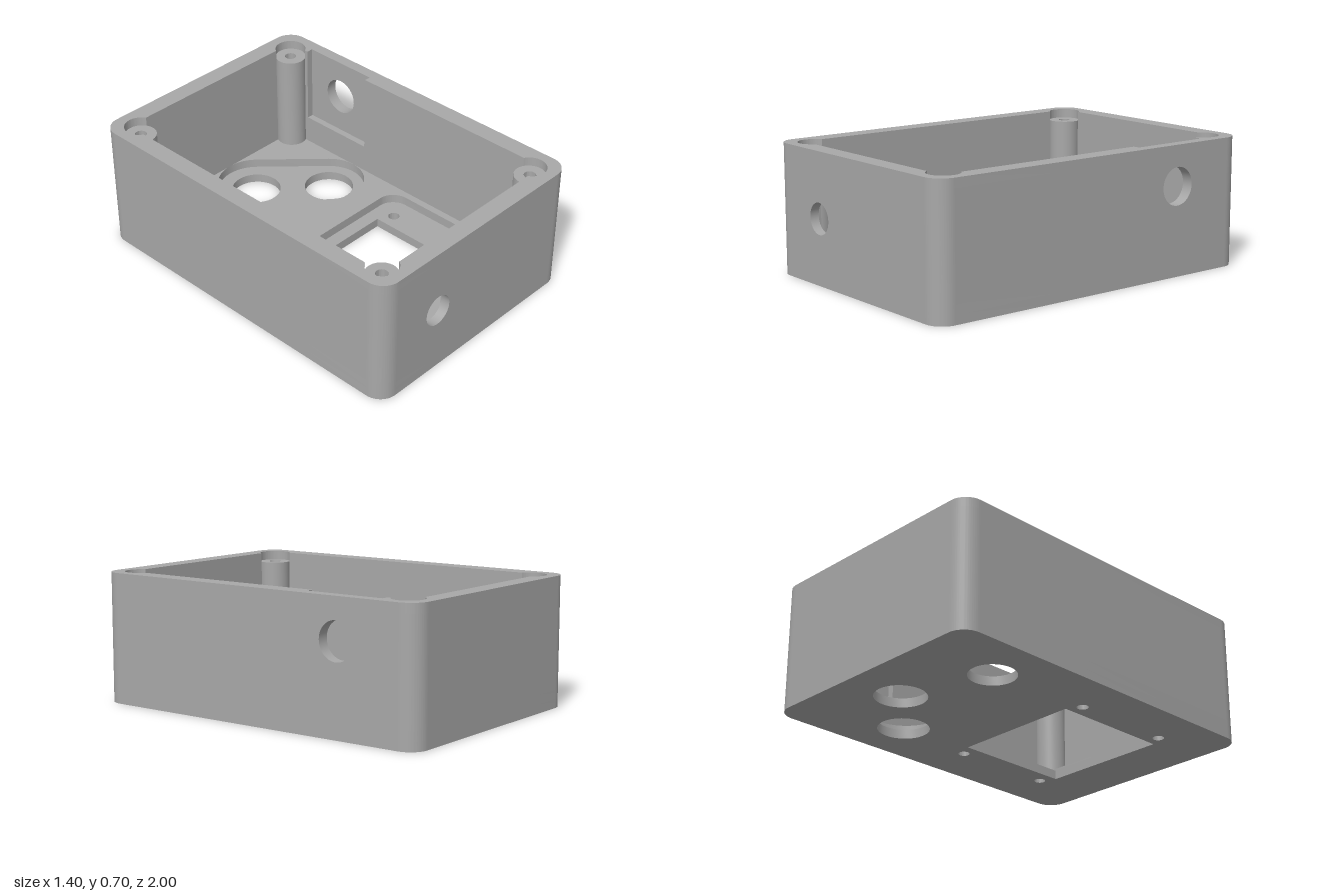
import * as THREE from 'three';
import { toCreasedNormals } from 'three/addons/utils/BufferGeometryUtils.js';

const W = 0.7, D = 1, H = 0.7, R = 0.1;        // outer half width, half depth, height, corner radius
const IW = 0.6, ID = 0.9;                      // cavity half width and half depth
const FLOOR = 0.1, STEP = 0.05, LEDGE = 0.65;  // floor top, recess level, post top
const PX = 0.56, PZ = 0.86, PR = 0.085;        // post position and radius

function rect(x0, y0, x1, y1, Type = THREE.Shape) {
  const p = new Type();
  p.moveTo(x0, y0).lineTo(x1, y0).lineTo(x1, y1).lineTo(x0, y1).closePath();
  return p;
}

function roundRect(x0, y0, x1, y1, r, Type = THREE.Shape) {
  const p = new Type(), q = Math.PI / 2;
  p.absarc(x1 - r, y1 - r, r, 0, q, false);
  p.absarc(x0 + r, y1 - r, r, q, 2 * q, false);
  p.absarc(x0 + r, y0 + r, r, 2 * q, 3 * q, false);
  p.absarc(x1 - r, y0 + r, r, 3 * q, 4 * q, false);
  p.closePath();
  return p;
}

const circle = (x, y, r) => new THREE.Path().absarc(x, y, r, 0, Math.PI * 2, false);

// Outline wrapped around two circles of different radius
function beltPath(x1, y1, r1, x2, y2, r2) {
  const phi = Math.atan2(y2 - y1, x2 - x1);
  const d = Math.acos((r1 - r2) / Math.hypot(x2 - x1, y2 - y1));
  const p = new THREE.Path();
  p.absarc(x1, y1, r1, phi + d, phi - d + Math.PI * 2, false);
  p.absarc(x2, y2, r2, phi - d, phi + d, false);
  p.closePath();
  return p;
}

// Cavity outline at the rim, with the post bores and the side pocket
function rimOpening(pocket) {
  const p = new THREE.Path();
  const cut = Math.sqrt(PR * PR - (IW - PX) ** 2);
  const a = Math.atan2(-cut, IW - PX), b = Math.atan2(ID - PZ, -cut);
  p.absarc(PX, PZ, PR, a, b, false);
  p.absarc(-PX, PZ, PR, Math.PI - b, Math.PI - a, false);
  p.absarc(-PX, -PZ, PR, Math.PI + a, Math.PI + b, false);
  p.absarc(PX, -PZ, PR, -b, -a, false);
  p.lineTo(IW, pocket.z0).lineTo(pocket.x, pocket.z0);
  p.lineTo(pocket.x, pocket.z1).lineTo(IW, pocket.z1);
  p.closePath();
  return p;
}

function extrude(shape, depth) {
  const g = new THREE.ExtrudeGeometry(shape, { depth, bevelEnabled: false, curveSegments: 24 });
  return g;
}

export function createModel() {
  const model = new THREE.Group();
  model.name = 'enclosure';
  const grey = new THREE.MeshStandardMaterial({ color: 0xa8a8a8 });
  grey.name = 'grey plastic';

  const add = (name, geometry) => {
    const mesh = new THREE.Mesh(toCreasedNormals(geometry, 0.5), grey);
    mesh.name = name;
    model.add(mesh);
    return mesh;
  };
  // Horizontal slab, shape drawn in (x, z)
  const slab = (name, shape, y0, y1) =>
    add(name, extrude(shape, y1 - y0).rotateX(Math.PI / 2).translate(0, y1, 0));
  // Panel facing front, shape drawn in (x, y)
  const frontPanel = (name, shape, z0, z1) =>
    add(name, extrude(shape, z1 - z0).translate(0, 0, z0));
  // Panel facing +x, shape drawn in (-z, y)
  const sidePanel = (name, shape, x0, x1) =>
    add(name, extrude(shape, x1 - x0).rotateY(Math.PI / 2).translate(x0, 0, 0));

  // Floor: lower layer with through holes
  const base = roundRect(-W, -D, W, D, R);
  base.holes.push(
    rect(-0.37, 0.01, 0.355, 0.685, THREE.Path),
    circle(-0.405, -0.535, 0.124),
    circle(0.098, -0.685, 0.137),
    circle(0.4, -0.405, 0.137));
  for (const x of [-0.443, 0.437])
    for (const z of [0.058, 0.64]) base.holes.push(circle(x, z, 0.031));
  slab('floorBase', base, 0, STEP);

  // Floor: upper layer with wider recesses
  const recess = roundRect(-W, -D, W, D, R);
  recess.holes.push(
    roundRect(-0.567, -0.065, 0.56, 0.757, 0.1, THREE.Path),
    rect(-0.6, -0.765, -0.2, -0.305, THREE.Path),
    beltPath(0.098, -0.685, 0.216, 0.4, -0.405, 0.2));
  slab('floorRecessLayer', recess, STEP, FLOOR);

  // Rounded wall corners
  const corners = [[1, 1], [-1, 1], [-1, -1], [1, -1]];
  corners.forEach(([sx, sz], i) => {
    const s = new THREE.Shape();
    s.moveTo(sx * IW, sz * ID);
    s.absarc(sx * IW, sz * ID, R, i * Math.PI / 2, (i + 1) * Math.PI / 2, false);
    s.closePath();
    slab('wallCorner', s, FLOOR, LEDGE);
  });

  // Plain back and right walls
  frontPanel('backWall', rect(-IW, FLOOR, IW, LEDGE), -D, -ID);
  sidePanel('rightWall', rect(-ID, FLOOR, ID, LEDGE), -W, -IW);

  // Front wall: round hole outside, square pocket inside
  const hx = -0.303, hy = 0.352, half = 0.14;
  const frontOuter = rect(-IW, FLOOR, IW, LEDGE);
  frontOuter.holes.push(circle(hx, hy, 0.084));
  frontPanel('frontWallOuter', frontOuter, 0.95, D);
  const frontInner = rect(-IW, FLOOR, IW, LEDGE);
  frontInner.holes.push(rect(hx - half, hy - half, hx + half, hy + half, THREE.Path));
  frontPanel('frontWallInner', frontInner, ID, 0.95);

  // Left wall: round hole outside, pocket open to the rim inside
  const pocket = { x: 0.637, z0: -0.765, z1: -0.32, y: 0.26 };
  const leftOuter = rect(-ID, FLOOR, ID, LEDGE);
  leftOuter.holes.push(circle(0.54, 0.482, 0.102));
  sidePanel('leftWallOuter', leftOuter, pocket.x, W);
  const leftInner = new THREE.Shape();
  leftInner.moveTo(-ID, FLOOR).lineTo(ID, FLOOR).lineTo(ID, LEDGE);
  leftInner.lineTo(-pocket.z0, LEDGE).lineTo(-pocket.z0, pocket.y);
  leftInner.lineTo(-pocket.z1, pocket.y).lineTo(-pocket.z1, LEDGE);
  leftInner.lineTo(-ID, LEDGE).closePath();
  sidePanel('leftWallInner', leftInner, IW, pocket.x);

  // Rim with post bores
  const rim = roundRect(-W, -D, W, D, R);
  rim.holes.push(rimOpening(pocket));
  slab('rim', rim, LEDGE, H);

  // Screw posts with blind holes
  const profile = [[PR, FLOOR], [PR, LEDGE], [0.032, LEDGE], [0.032, 0.3], [0, 0.3]]
    .map(([r, y]) => new THREE.Vector2(r, y));
  for (const [sx, sz] of corners)
    add('screwPost', new THREE.LatheGeometry(profile, 40)).position.set(sx * PX, 0, sz * PZ);

  return model;
}
